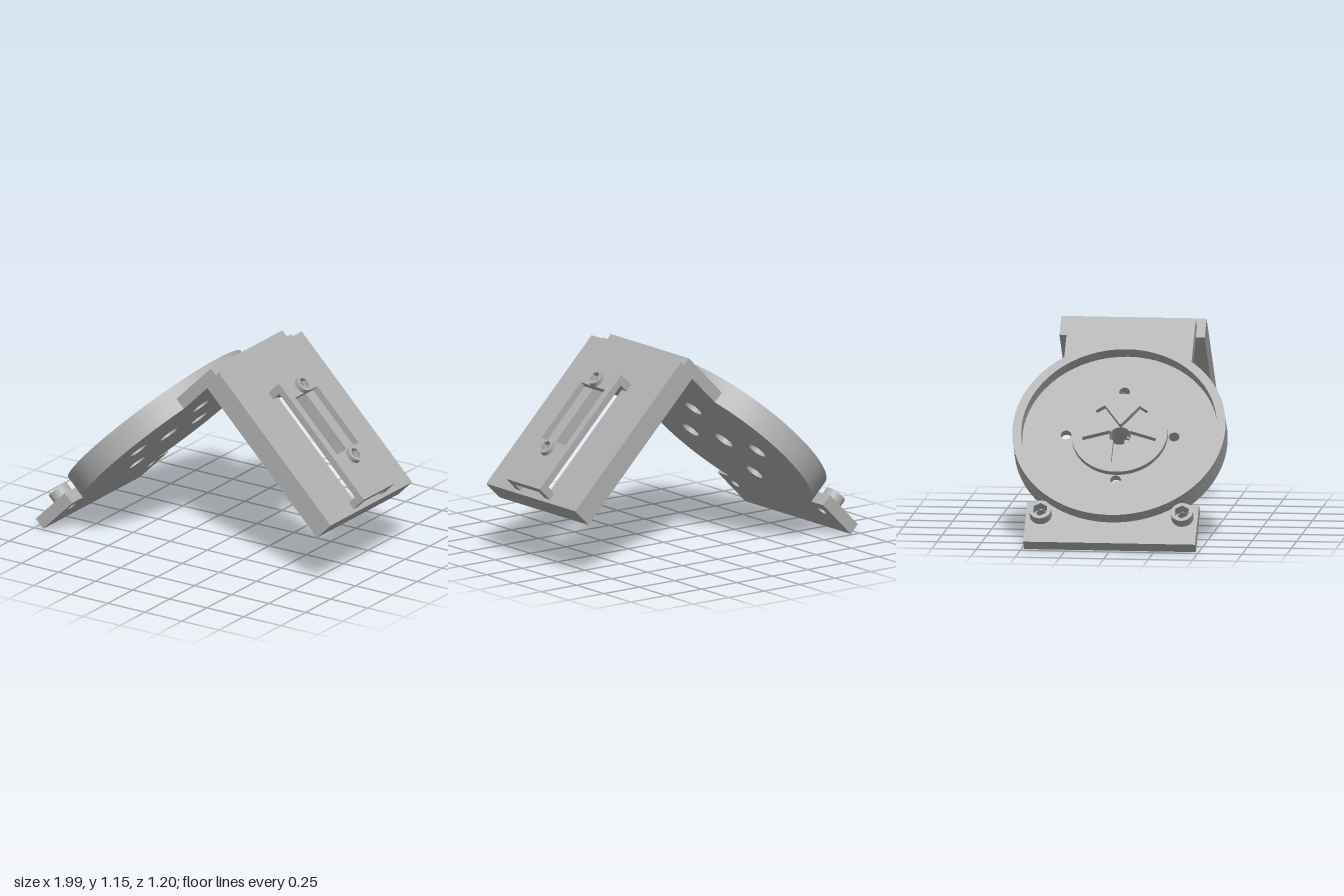
import * as THREE from 'three';
import { toCreasedNormals } from 'three/addons/utils/BufferGeometryUtils.js';

const grey = new THREE.MeshStandardMaterial({ color: 0xb0b0b0 });
grey.name = 'grey plastic';

function circle(r, x = 0, z = 0) {
  const p = new THREE.Path();
  p.absarc(x, z, r, 0, Math.PI * 2, false);
  return p;
}

function polygon(points) {
  return new THREE.Path(points.map(([x, z]) => new THREE.Vector2(x, z)));
}

function rect(x0, x1, z0, z1) {
  return polygon([[x0, z0], [x1, z0], [x1, z1], [x0, z1], [x0, z0]]);
}

function hexagon(r, x, z) {
  const pts = [];
  for (let i = 0; i <= 6; i++) {
    const a = (i % 6) * Math.PI / 3;
    pts.push([x + r * Math.cos(a), z + r * Math.sin(a)]);
  }
  return polygon(pts);
}

// Flat slab with an outline, holes and a height range
function slab(parent, name, outline, holes, y0, y1) {
  const shape = new THREE.Shape(outline.getPoints(40));
  shape.holes = holes;
  const geo = new THREE.ExtrudeGeometry(shape, { depth: y1 - y0, bevelEnabled: false, curveSegments: 32 });
  geo.rotateX(-Math.PI / 2);
  geo.translate(0, y0, 0);
  const mesh = new THREE.Mesh(toCreasedNormals(geo, 0.5), grey);
  mesh.name = name;
  parent.add(mesh);
}

function box(parent, name, x0, x1, y0, y1, z0, z1) {
  const mesh = new THREE.Mesh(new THREE.BoxGeometry(x1 - x0, y1 - y0, z1 - z0), grey);
  mesh.position.set((x0 + x1) / 2, (y0 + y1) / 2, (z0 + z1) / 2);
  mesh.name = name;
  parent.add(mesh);
}

function dishArm() {
  const g = new THREE.Group();
  g.name = 'dishArm';
  const c = 0.744, R = 0.6;

  // One outline for the mounting foot, the round dish and the arm
  const outline = new THREE.Path();
  const low = Math.atan2(0.375, -0.468), high = Math.atan2(0.36, 0.48);
  outline.moveTo(0, -0.485);
  outline.lineTo(0.276, -0.485);
  outline.absarc(c, 0, R, -low, -high, false);
  outline.lineTo(1.552, -0.36);
  outline.lineTo(1.552, 0.36);
  outline.absarc(c, 0, R, high, low, false);
  outline.lineTo(0.276, 0.485);
  outline.lineTo(0, 0.485);

  // Screw holes, wider on the underside
  const holes = (r) => [
    circle(0.06, c, 0),
    circle(0.028, 0.195, 0.4), circle(0.028, 0.195, -0.4),
    ...[0, 1, 2, 3].map((i) => circle(r, c + 0.305 * Math.cos(i * Math.PI / 2), 0.305 * Math.sin(i * Math.PI / 2))),
  ];
  slab(g, 'lowerPlate', outline, holes(0.055), 0, 0.03);
  slab(g, 'upperPlate', outline, holes(0.03), 0.03, 0.07);
  slab(g, 'dishRim', circle(R, c), [circle(0.55, c)], 0.07, 0.141);

  // Raised hub with five radial slots around the centre hole
  const w = 0.032, inner = Math.sqrt(0.06 * 0.06 - w * w), star = [];
  for (let i = 0; i < 5; i++) {
    const a = Math.PI + i * Math.PI * 0.4, ca = Math.cos(a), sa = Math.sin(a);
    for (const [r, t] of [[inner, -w], [0.21, -w], [0.21, w], [inner, w]]) {
      star.push([c + r * ca - t * sa, r * sa + t * ca]);
    }
  }
  star.push(star[0]);
  slab(g, 'slottedHub', circle(0.27, c), [polygon(star)], 0.07, 0.1);

  // Nut bosses on the mounting foot
  for (const z of [-0.4, 0.4]) {
    slab(g, 'footNutBoss', circle(0.062, 0.185, z), [hexagon(0.044, 0.185, z)], 0.07, 0.126);
  }
  // Thin lip at the end of the arm
  box(g, 'armLip', 1.552, 1.587, 0, 0.02, -0.36, 0.36);
  return g;
}

function bracketArm() {
  const g = new THREE.Group();
  g.name = 'bracketArm';
  slab(g, 'thickPlate', rect(0, 1.054, -0.41, 0.41), [rect(0.25, 0.98, -0.11, 0.11)], -0.131, 0);

  // Raised bridge on four legs, with a window
  const screws = [0.29, 0.78];
  slab(g, 'bridgeTop', rect(0.219, 1.032, -0.155, 0.155),
    [rect(0.335, 0.73, -0.11, 0.11), ...screws.map((x) => circle(0.022, x, 0))], 0.057, 0.098);
  for (const x of [0.219, 0.987]) {
    for (const z of [-0.155, 0.11]) box(g, 'bridgeLeg', x, x + 0.045, 0, 0.057, z, z + 0.045);
  }
  for (const x of screws) {
    slab(g, 'bridgeNutBoss', circle(0.048, x), [hexagon(0.034, x, 0)], 0.098, 0.126);
  }
  return g;
}

export function createModel() {
  const model = new THREE.Group();
  model.name = 'angledBracket';
  const dish = dishArm();
  dish.position.set(-0.95, 0, 0);
  dish.rotation.z = Math.PI / 4;
  const bracket = bracketArm();
  bracket.position.set(0.195, 1.145, 0);
  bracket.rotation.z = -Math.PI / 4;
  model.add(dish, bracket);
  return model;
}
